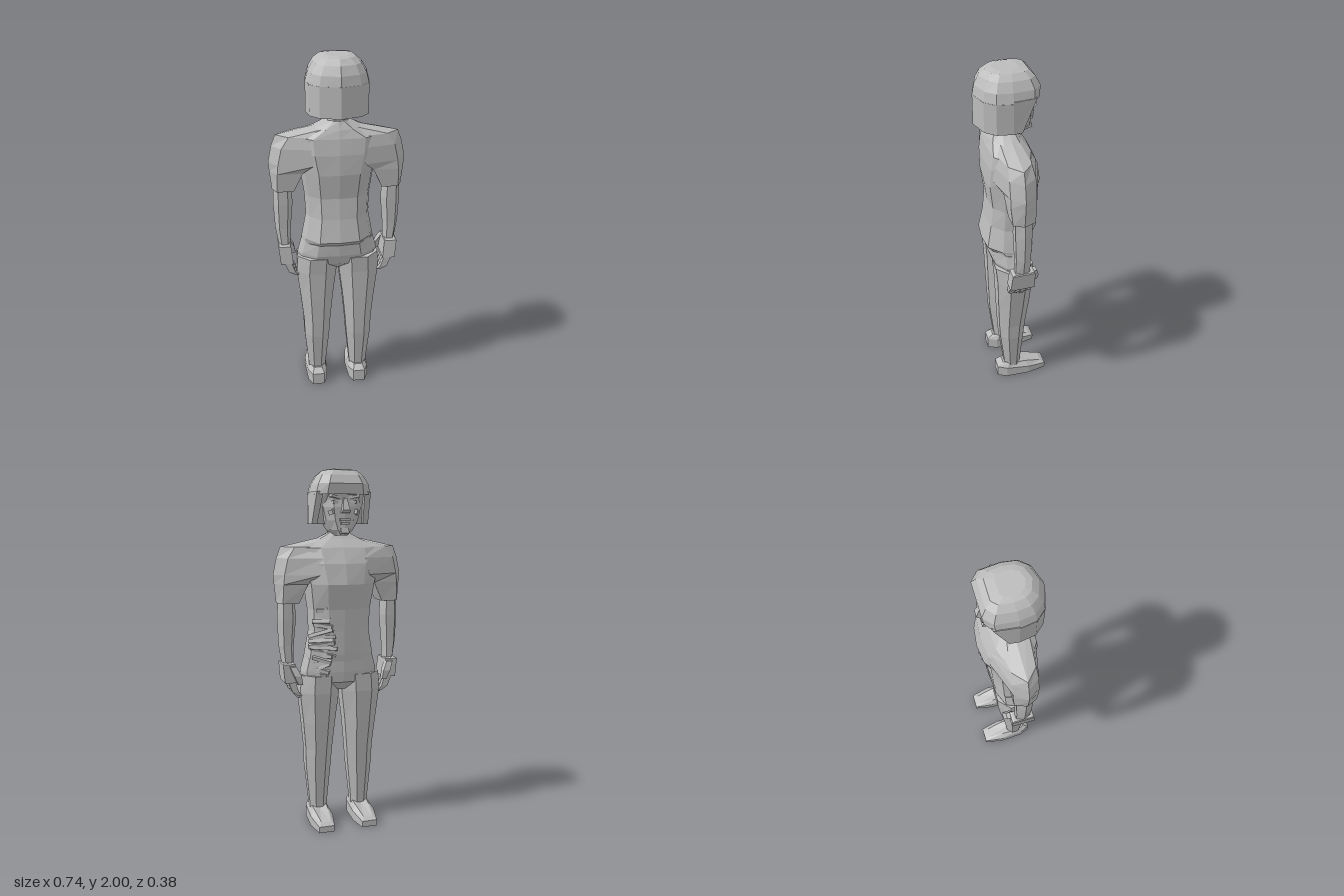
import * as THREE from 'three';

// Skin between rings of [x, y, z]; rings go bottom to top, points run +z, +x, -z, -x.
function loft(rings) {
  const pos = [];
  const tri = (a, b, c) => pos.push(...a, ...b, ...c);
  const n = rings[0].length;
  const centre = r => [0, 1, 2].map(k => r.reduce((s, p) => s + p[k], 0) / n);
  const low = rings[0], high = rings[rings.length - 1];
  const cLow = centre(low), cHigh = centre(high);
  for (let i = 0; i < n; i++) {
    const j = (i + 1) % n;
    for (let r = 0; r + 1 < rings.length; r++) {
      const a = rings[r], b = rings[r + 1];
      tri(a[i], a[j], b[j]);
      tri(a[i], b[j], b[i]);
    }
    tri(low[j], low[i], cLow);
    tri(high[i], high[j], cHigh);
  }
  const g = new THREE.BufferGeometry();
  g.setAttribute('position', new THREE.Float32BufferAttribute(pos, 3));
  g.computeVertexNormals();
  return g;
}

// Symmetric ring from its +x half, listed back to front; first and last points lie on x = 0.
function whole(y, half) {
  const right = half.map(([x, z]) => [x, y, z]);
  const left = half.slice(1, -1).reverse().map(([x, z]) => [-x, y, z]);
  return [...right, ...left];
}

// Body section: half width, back z, front z.
const body = (y, w, back, front) => whole(y, [
  [0, back], [w * 0.55, back * 0.93], [w * 0.9, back * 0.5], [w, 0.015],
  [w * 0.9, front * 0.55], [w * 0.5, front * 0.92], [0, front]]);

// Limb section spanning x0..x1 and z0..z1.
function section(y, x0, x1, z0, z1, n = 8) {
  return Array.from({ length: n }, (_, i) => {
    const a = (i + 0.5) / n * Math.PI * 2, k = 1 / Math.cos(Math.PI / n);
    return [(x0 + x1) / 2 + (x1 - x0) / 2 * k * Math.sin(a), y,
      (z0 + z1) / 2 + (z1 - z0) / 2 * k * Math.cos(a)];
  });
}

const mirrored = rings => rings.map(r => r.map(([x, y, z]) => [-x, y, z]).reverse());

export function createModel() {
  const model = new THREE.Group();
  model.name = 'figure';
  const grey = new THREE.MeshStandardMaterial({ color: 0xbcbcbc, flatShading: true });
  grey.name = 'plain grey';

  const add = (name, geometry, parent = model) => {
    const m = new THREE.Mesh(geometry, grey);
    m.name = name;
    parent.add(m);
    return m;
  };
  const pair = (name, rings) => {
    add('left' + name, loft(rings));
    add('right' + name, loft(mirrored(rings)));
  };
  const box = (name, size, at, rot = [0, 0, 0], parent = model) => {
    const m = add(name, new THREE.BoxGeometry(...size), parent);
    m.position.set(...at);
    m.rotation.set(...rot);
    return m;
  };

  // Shirt, from hem to collar
  add('shirt', loft([
    body(0.96, 0.205, 0.12, -0.1), body(1.0, 0.2, 0.16, -0.105), body(1.13, 0.175, 0.135, -0.11),
    body(1.25, 0.18, 0.122, -0.118), body(1.39, 0.2, 0.14, -0.155), body(1.5, 0.235, 0.138, -0.132),
    body(1.585, 0.25, 0.125, -0.09), body(1.63, 0.13, 0.11, -0.05), body(1.67, 0.05, 0.09, -0.02)]));

  // Sleeves, with shoulders running into the chest
  const sleeve = (y, inX, inZ0, inZ1, midX, midZ0, midZ1, outX) => [
    [inX, y, inZ1], [midX, y, midZ1], [outX, y, 0.015], [midX, y, midZ0], [inX, y, inZ0]];
  pair('Sleeve', [
    sleeve(1.285, 0.24, -0.05, 0.07, 0.33, -0.05, 0.07, 0.355),
    sleeve(1.39, 0.19, -0.06, 0.08, 0.325, -0.055, 0.08, 0.365),
    sleeve(1.44, 0.14, -0.12, 0.12, 0.32, -0.055, 0.08, 0.369),
    sleeve(1.53, 0.12, -0.11, 0.12, 0.3, -0.055, 0.08, 0.35),
    sleeve(1.59, 0.1, -0.075, 0.11, 0.26, -0.045, 0.075, 0.327),
    sleeve(1.64, 0.04, -0.03, 0.09, 0.06, -0.02, 0.07, 0.1)]);

  // Trousers
  add('hips', loft([
    body(0.79, 0.06, 0.05, -0.05), body(0.84, 0.225, 0.105, -0.095),
    body(0.9, 0.225, 0.125, -0.1), body(0.975, 0.205, 0.13, -0.1)]));
  pair('Leg', [
    section(0.07, 0.075, 0.175, -0.03, 0.065), section(0.12, 0.073, 0.178, -0.033, 0.07),
    section(0.34, 0.052, 0.198, -0.05, 0.095), section(0.44, 0.045, 0.2, -0.06, 0.1),
    section(0.6, 0.03, 0.215, -0.08, 0.105), section(0.78, 0.008, 0.235, -0.095, 0.11),
    section(0.88, 0.004, 0.228, -0.095, 0.118)]);

  // Shoes: flat sole, upper sloping down to the toe
  const plan = [[0.09, 0.115], [0.16, 0.115], [0.185, 0.06], [0.192, -0.08],
    [0.172, -0.19], [0.083, -0.19], [0.062, -0.08], [0.068, 0.06]];
  const heights = [0.075, 0.075, 0.07, 0.055, 0.035, 0.035, 0.055, 0.07];
  const shoeTop = [[0.1, 0.1, 0.08], [0.15, 0.1, 0.08], [0.17, 0.1, 0.04], [0.165, 0.085, -0.06],
    [0.152, 0.05, -0.165], [0.1, 0.05, -0.165], [0.085, 0.085, -0.06], [0.08, 0.1, 0.04]];
  pair('Shoe', [plan.map(([x, z]) => [x, 0, z]), plan.map(([x, z], i) => [x, heights[i], z]), shoeTop]);

  // Forearms and hands
  pair('Arm', [
    section(0.94, 0.268, 0.325, -0.03, 0.05, 6), section(1.05, 0.265, 0.34, -0.03, 0.05, 6),
    section(1.2, 0.252, 0.345, -0.035, 0.055, 6), section(1.3, 0.258, 0.34, -0.035, 0.055, 6)]);
  const quad = (y, x0, x1, z0, z1) => [[x0, y, z1], [x1, y, z1], [x1, y, z0], [x0, y, z0]];
  pair('Palm', [quad(0.845, 0.255, 0.325, -0.055, 0.08), quad(0.95, 0.265, 0.335, -0.055, 0.07),
    quad(0.955, 0.27, 0.33, -0.045, 0.06)]);
  for (let i = 0; i < 4; i++) {
    const z = -0.047 + i * 0.032, end = 0.75 + [0.015, 0, 0.005, 0.02][i];
    pair('Finger' + (i + 1), [quad(end, 0.226, 0.248, z + 0.004, z + 0.024),
      quad(0.79, 0.245, 0.282, z, z + 0.028), quad(0.86, 0.268, 0.308, z, z + 0.029)]);
  }
  pair('Thumb', [quad(0.84, 0.232, 0.258, -0.09, -0.062), quad(0.89, 0.24, 0.28, -0.092, -0.05),
    quad(0.94, 0.265, 0.3, -0.075, -0.03)]);

  // Neck and face
  add('neck', loft([section(1.6, -0.06, 0.06, -0.03, 0.085), section(1.74, -0.045, 0.045, -0.025, 0.075)]));
  add('face', loft([
    body(1.65, 0.035, 0.02, -0.105), body(1.68, 0.07, 0.03, -0.11), body(1.73, 0.1, 0.05, -0.112),
    body(1.8, 0.118, 0.06, -0.115), body(1.835, 0.12, 0.06, -0.11), body(1.9, 0.125, 0.06, -0.125)]));
  add('nose', loft([quad(1.768, -0.024, 0.024, -0.128, -0.1), quad(1.782, -0.02, 0.02, -0.145, -0.1),
    quad(1.845, -0.009, 0.009, -0.122, -0.1)]));
  box('upperLip', [0.056, 0.012, 0.025], [0, 1.732, -0.11]);
  box('lowerLip', [0.046, 0.012, 0.025], [0, 1.715, -0.108]);
  box('chin', [0.045, 0.028, 0.03], [0, 1.672, -0.103], [0.25, 0, 0]);
  for (const s of [-1, 1]) {
    const side = s > 0 ? 'left' : 'right';
    box(side + 'Brow', [0.06, 0.014, 0.03], [s * 0.052, 1.852, -0.106], [0, s * 0.3, s * 0.2]);
    box(side + 'Eye', [0.036, 0.014, 0.02], [s * 0.05, 1.825, -0.1], [0, s * 0.25, 0]);
    box(side + 'Cheek', [0.04, 0.025, 0.03], [s * 0.06, 1.775, -0.088], [0.3, s * 0.5, s * -0.4]);
  }

  // Bobbed hair, open around the face below the fringe
  const hair = (y, k, front, back = 0.185) => whole(y, [
    [0, back], [0.105 * k, back * 0.83], [0.152 * k, back * 0.55], [0.165 * k, 0.02 * k],
    [0.152 * k, front * 0.68], [0.1 * k, front], [0, front]]);
  add('hairSides', loft([hair(1.71, 1, -0.02), hair(1.78, 1, -0.05), hair(1.87, 1, -0.09)]));
  for (const s of [-1, 1]) {
    const lock = [[[0.12, 1.71, 0.02], [0.165, 1.71, 0.02], [0.16, 1.71, -0.028], [0.13, 1.71, -0.028]],
      [[0.12, 1.88, 0.02], [0.165, 1.88, 0.02], [0.15, 1.88, -0.1], [0.115, 1.88, -0.105]]];
    add(s > 0 ? 'leftHairLock' : 'rightHairLock', loft(s > 0 ? lock : mirrored(lock)));
  }
  add('hairCap', loft([hair(1.865, 1, -0.128), hair(1.92, 0.91, -0.135, 0.175),
    hair(1.965, 0.75, -0.112, 0.152), hair(1.992, 0.55, -0.085, 0.12), hair(2.0, 0.38, -0.04, 0.09)]));

  // Torn, jagged strips on the left of the belly
  let seed = 11;
  const rnd = () => (seed = (seed * 16807) % 2147483647) / 2147483647 - 0.5;
  const tear = new THREE.Group();
  tear.name = 'tornSide';
  model.add(tear);
  for (let i = 0; i < 20; i++) {
    const t = i / 19, y = 0.89 + 0.4 * t;
    const w = 0.05 + 0.085 * Math.sin(Math.PI * Math.min(1, t * 1.15)) ** 0.8;
    box('tornStrip' + i, [Math.max(0.04, w) + rnd() * 0.03, 0.02, 0.03],
      [0.115 + rnd() * 0.025, y, -0.079 + rnd() * 0.012], [rnd() * 0.9, -0.5 + rnd() * 0.3, rnd() * 0.6], tear);
  }
  return model;
}
